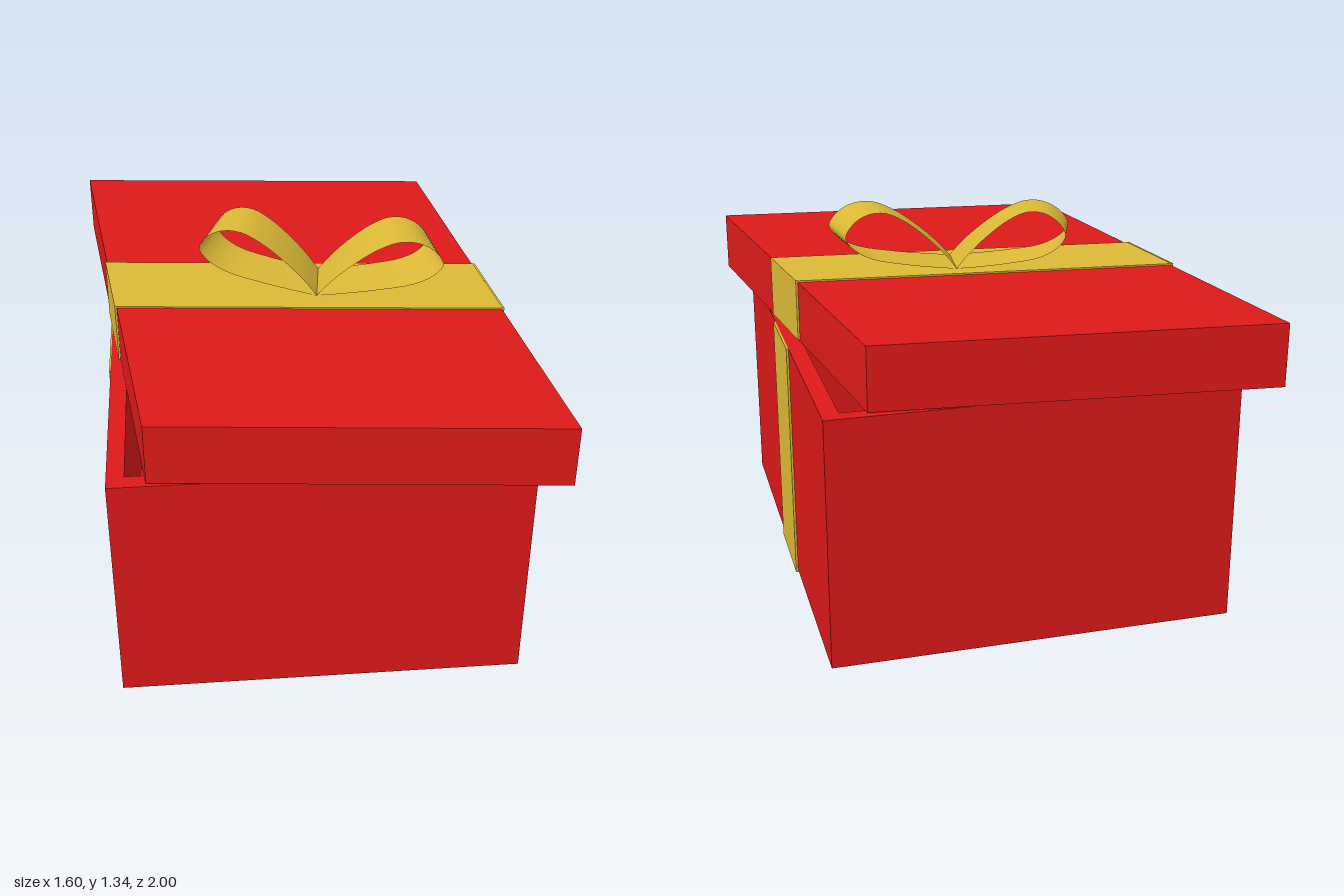
import * as THREE from 'three';

const red = new THREE.MeshStandardMaterial({ color: 0xdd1919 });
const gold = new THREE.MeshStandardMaterial({ color: 0xdbb936 });
const goldThin = new THREE.MeshStandardMaterial({ color: 0xdbb936, side: THREE.DoubleSide });

// Lid frame: the lid is skewed, its half edges are the x and z columns
const skew = new THREE.Matrix4().set(
  0.685, 0, 0.115, 0,
  0, 1, 0, 0,
  0.065, 0, 0.935, 0,
  0, 0, 0, 1);

// Block between two corners, optionally skewed into the lid frame
function block(parent, name, material, [x0, x1], [y0, y1], [z0, z1], matrix) {
  const geo = new THREE.BoxGeometry(x1 - x0, y1 - y0, z1 - z0);
  geo.translate((x0 + x1) / 2, (y0 + y1) / 2, (z0 + z1) / 2);
  if (matrix) geo.applyMatrix4(matrix);
  const mesh = new THREE.Mesh(geo, material);
  mesh.name = name;
  parent.add(mesh);
}

// Bow loop: a side profile (u outwards, y up) swept across the ribbon width,
// which turns from the base direction to the tip direction
function bowLoop(name, tip, tipHalf) {
  const base = [0.068, -0.008], baseHalf = [-0.0125, 0.103];
  const profile = [
    [0, 1.12], [0.12, 1.18], [0.3, 1.25], [0.48, 1.305], [0.65, 1.335], [0.82, 1.328],
    [0.95, 1.29], [1, 1.25], [0.94, 1.21], [0.78, 1.17], [0.5, 1.145], [0.2, 1.128], [-0.04, 1.118],
  ];
  const curve = new THREE.CatmullRomCurve3(profile.map(([u, y]) => new THREE.Vector3(u, y, 0)));
  const positions = [], index = [], n = 40;
  curve.getPoints(n).forEach((p, i) => {
    const k = THREE.MathUtils.clamp(p.x, 0, 1);
    for (const side of [-1, 1]) {
      const [x, z] = [0, 1].map((a) =>
        THREE.MathUtils.lerp(base[a], tip[a], p.x) +
        side * THREE.MathUtils.lerp(baseHalf[a], tipHalf[a], k));
      positions.push(x, p.y, z);
    }
    const a = 2 * i;
    if (i < n) index.push(a, a + 1, a + 2, a + 1, a + 3, a + 2);
  });
  const geo = new THREE.BufferGeometry();
  geo.setAttribute('position', new THREE.Float32BufferAttribute(positions, 3));
  geo.setIndex(index);
  geo.computeVertexNormals();
  const mesh = new THREE.Mesh(geo, goldThin);
  mesh.name = name;
  return mesh;
}

export function createModel() {
  const model = new THREE.Group();
  model.name = 'giftBox';
  const part = (name) => {
    const g = new THREE.Group();
    g.name = name;
    model.add(g);
    return g;
  };

  // Open box with thick walls
  const box = part('box');
  const wallY = [0.06, 0.885];
  block(box, 'floor', red, [-0.7, 0.715], [0.008, 0.06], [-0.89, 0.88]);
  block(box, 'frontWall', red, [-0.7, 0.715], wallY, [0.82, 0.88]);
  block(box, 'backWall', red, [-0.7, 0.715], wallY, [-0.89, -0.835]);
  block(box, 'leftWall', red, [0.655, 0.715], wallY, [-0.835, 0.82]);
  block(box, 'rightWall', red, [-0.7, -0.64], wallY, [-0.835, 0.82]);

  // Ribbon up both sides and under the box
  const band = part('boxRibbon');
  block(band, 'bottomRibbon', gold, [-0.705, 0.723], [0, 0.008], [-0.165, 0.168]);
  block(band, 'leftRibbon', gold, [0.715, 0.723], [0.008, 0.885], [-0.165, 0.168]);
  block(band, 'rightRibbon', gold, [-0.705, -0.7], [0.008, 0.885], [-0.165, 0.168]);

  // Skewed lid, hollow underneath
  const lid = part('lid');
  block(lid, 'lidTop', red, [-1, 1], [1.06, 1.11], [-1, 1], skew);
  for (const s of [-1, 1]) {
    const range = (a, b) => (s > 0 ? [a, b] : [-b, -a]);
    block(lid, 'lidSide', red, range(0.925, 1), [0.89, 1.06], [-1, 1], skew);
    block(lid, 'lidEnd', red, [-0.925, 0.925], [0.89, 1.06], range(0.945, 1), skew);
    // Ribbon folded down over the lid sides
    block(lid, 'lidRibbonEnd', gold, range(1, 1.01), [0.895, 1.117], [-0.184, 0.184], skew);
  }
  block(lid, 'lidRibbon', gold, [-1, 1], [1.11, 1.116], [-0.184, 0.184], skew);

  // Two-loop bow
  const bow = part('bow');
  bow.add(bowLoop('leftLoop', [0.4925, 0.035], [0.0125, 0.105]));
  bow.add(bowLoop('rightLoop', [-0.325, -0.153], [-0.036, 0.092]));
  return model;
}
